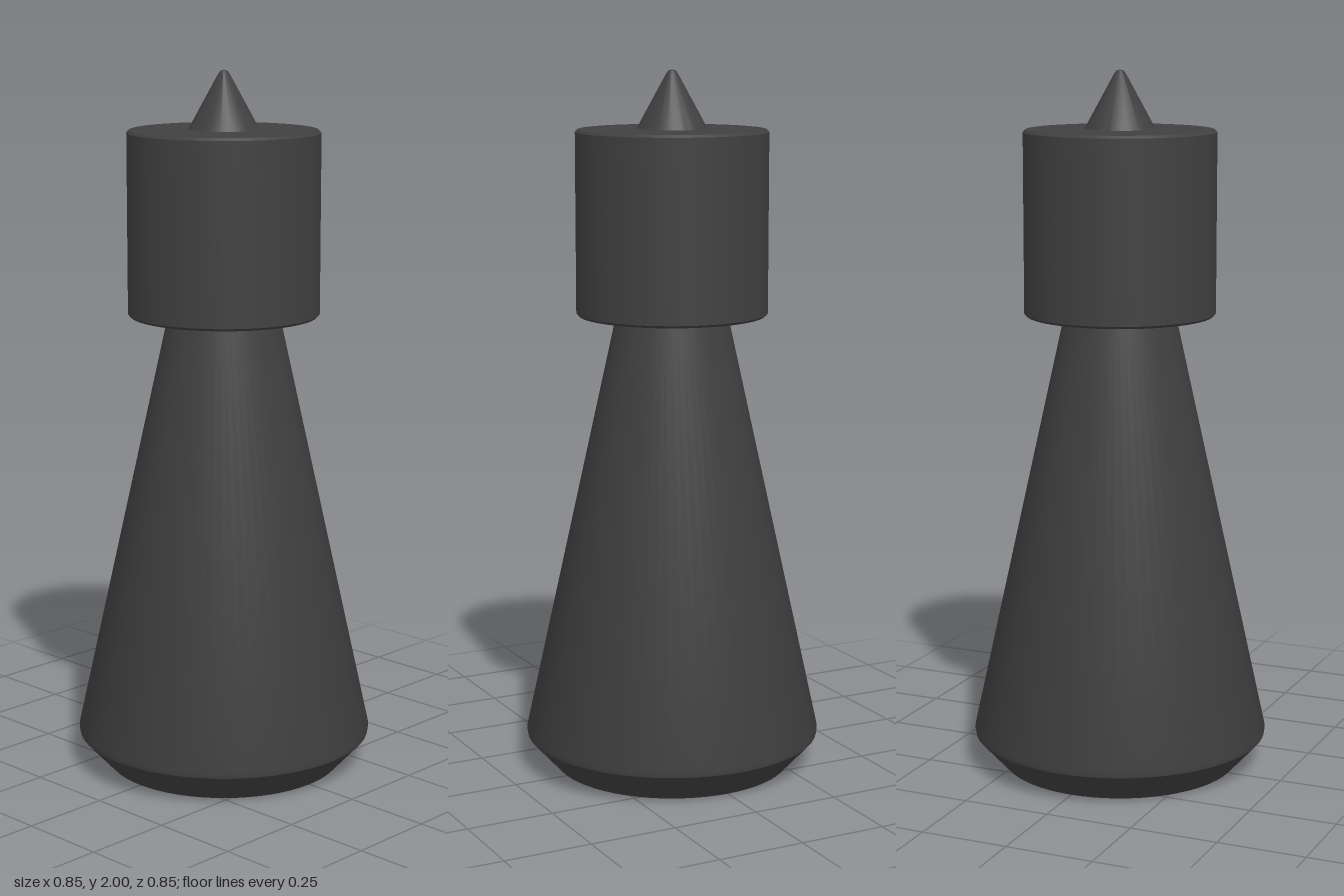
import * as THREE from 'three';
import { toCreasedNormals } from 'three/addons/utils/BufferGeometryUtils.js';

export function createModel() {
  const group = new THREE.Group();
  const charcoal = new THREE.MeshStandardMaterial({ color: 0x404040 });
  charcoal.name = 'charcoal';

  // Turned part from [radius, height] pairs, listed bottom to top
  function turned(name, profile) {
    const points = profile.map(([r, y]) => new THREE.Vector2(r, y));
    const geometry = toCreasedNormals(new THREE.LatheGeometry(points, 64), 0.5);
    const mesh = new THREE.Mesh(geometry, charcoal);
    mesh.name = name;
    group.add(mesh);
  }

  // Tapered body with a chamfered foot
  turned('body', [[0, 0], [0.34, 0], [0.422, 0.09], [0.424, 0.105], [0.158, 1.315], [0, 1.315]]);

  // Cylindrical head with softened rims
  turned('head', [
    [0, 1.315], [0.264, 1.315], [0.271, 1.322],
    [0.271, 1.829], [0.264, 1.836], [0.14, 1.838], [0, 1.838],
  ]);

  // Small pointed finial with a blunt tip
  turned('finial', [[0.1, 1.836], [0.017, 1.988], [0.01, 1.998], [0, 2]]);

  return group;
}
